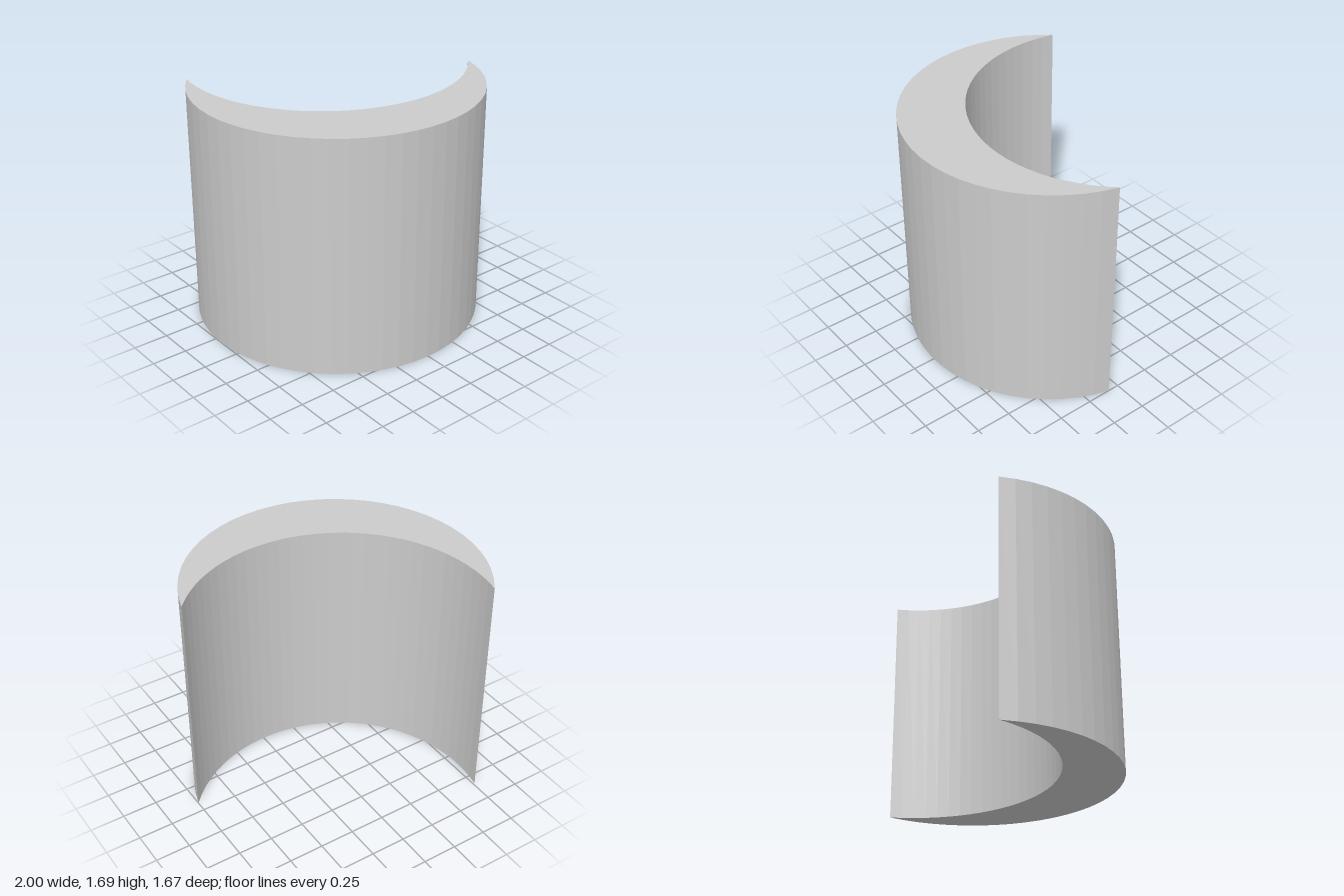
import * as THREE from 'three';

const HEIGHT = 1.69;

// Plan is drawn with shape y = -z; the two sharp tips of the crescent
const rightTip = new THREE.Vector2(1, -0.08);
const backTip = new THREE.Vector2(-0.76, 0.835);

// Add an arc between two points around a centre on their perpendicular bisector
function addArc(shape, from, to, offset, clockwise) {
  const along = rightTip.clone().sub(backTip).normalize();
  const normal = new THREE.Vector2(-along.y, along.x);
  const centre = from.clone().add(to).multiplyScalar(0.5).addScaledVector(normal, offset);
  const a = from.clone().sub(centre);
  const b = to.clone().sub(centre);
  shape.absarc(centre.x, centre.y, a.length(), Math.atan2(a.y, a.x), Math.atan2(b.y, b.x), clockwise);
}

export function createModel() {
  const group = new THREE.Group();
  group.name = 'crescentBlock';

  // Crescent outline: outer wall, then back along the inner hollow
  const outline = new THREE.Shape();
  addArc(outline, backTip, rightTip, -0.224, false);
  addArc(outline, rightTip, backTip, 0.24, true);

  // Upright extrusion
  const geometry = new THREE.ExtrudeGeometry(outline, {
    depth: HEIGHT, bevelEnabled: false, curveSegments: 16,
  });
  geometry.rotateX(-Math.PI / 2);

  const crescent = new THREE.Mesh(geometry, new THREE.MeshStandardMaterial({ color: 0xcccccc }));
  crescent.name = 'crescent';
  group.add(crescent);
  return group;
}
